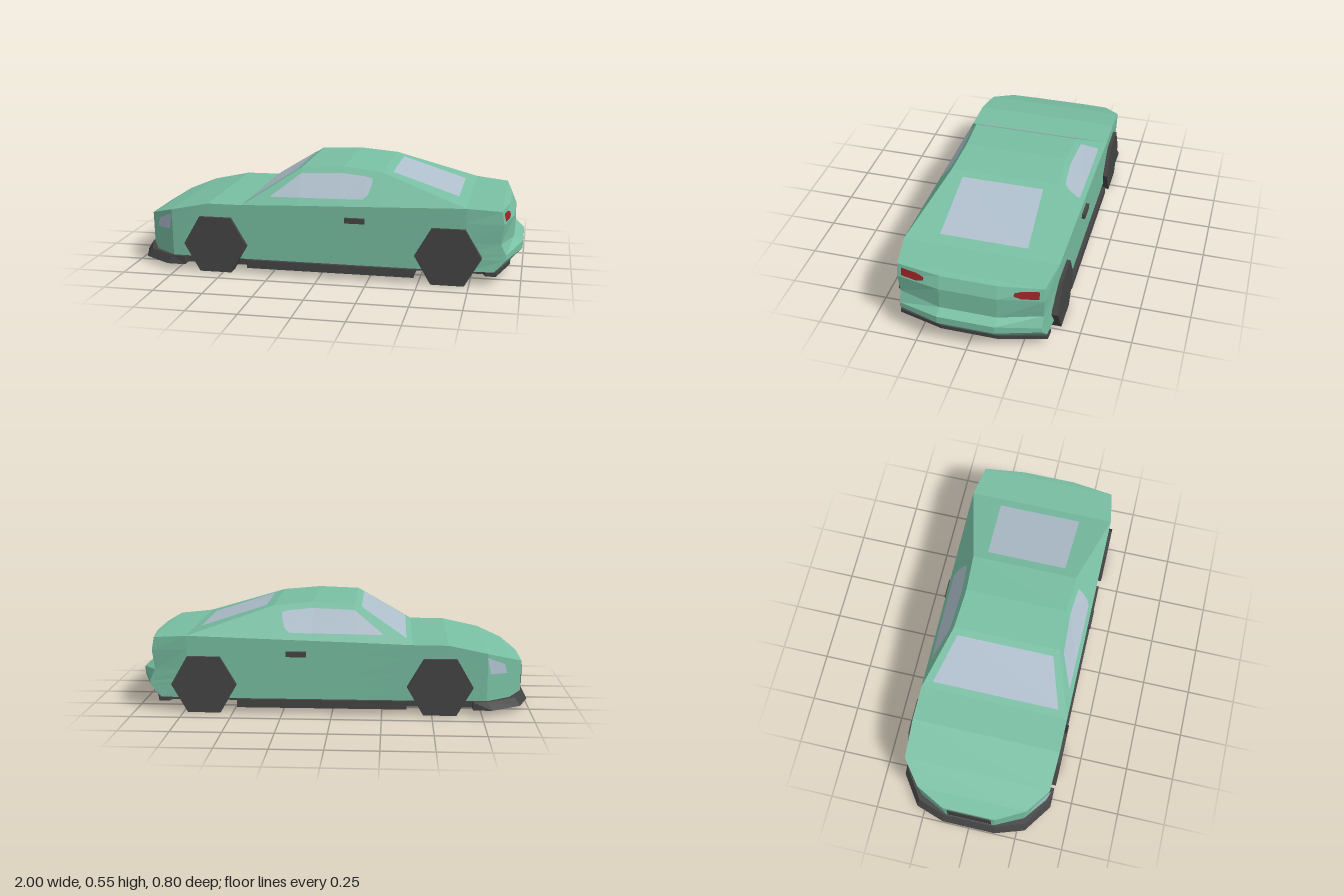
import * as THREE from 'three';

const mat = (name, color) => Object.assign(new THREE.MeshStandardMaterial({ color }), { name });
const lerp = THREE.MathUtils.lerp;

export function createModel() {
  const car = new THREE.Group();
  car.name = 'car';
  const paint = mat('green paint', 0x78bfa3);
  const glass = mat('pale glass', 0xafbfcc);
  const dark = mat('dark grey', 0x454444);
  const red = mat('red lamp', 0x9a2226);

  const add = (name, geo, material) => {
    const flat = geo.index ? geo.toNonIndexed() : geo;
    flat.computeVertexNormals();
    const mesh = new THREE.Mesh(flat, material);
    mesh.name = name;
    car.add(mesh);
    return mesh;
  };

  // Flat faces from a list of quads, skipping collapsed triangles
  const quadGeometry = (quads) => {
    const points = [];
    for (const [a, b, c, d] of quads) {
      for (const t of [[a, b, c], [a, c, d]]) {
        const [p, q, r] = t.map((v) => new THREE.Vector3(...v));
        if (q.clone().sub(p).cross(r.clone().sub(p)).length() > 1e-7) points.push(p, q, r);
      }
    }
    return new THREE.BufferGeometry().setFromPoints(points);
  };
  const flipZ = ([x, y, z]) => [x, y, -z];
  const mirrorQuads = (quads) => quads.map((q) => q.map(flipZ).reverse());
  const addPair = (name, quads, material) => {
    add(name + 'Near', quadGeometry(quads), material);
    add(name + 'Far', quadGeometry(mirrorQuads(quads)), material);
  };

  // Body cross-sections: x, half width, shoulder height, roof height, roof half width
  const stations = [
    [-0.967, 0.138, 0.23], [-0.895, 0.285, 0.272], [-0.775, 0.378, 0.313],
    [-0.58, 0.385, 0.354], [-0.4, 0.385, 0.355],
    [-0.11, 0.385, 0.365, 0.54, 0.275], [0.1, 0.385, 0.371, 0.55, 0.262],
    [0.3, 0.385, 0.377, 0.53, 0.275], [0.73, 0.385, 0.39],
  ];
  const steps = [0, 0.2, 0.3, 0.45, 0.77, 1];
  const sections = stations.map(([x, w, s, roofY = s, roofZ = w]) => [
    ...steps.map((f) => [x, lerp(0.07, s, f), w - 0.01 * (1 - f)]), [x, roofY, roofZ],
  ]);
  // Tail: outer corner, then the centre panel with its bumper ledge
  const corner = [[0.87, 0.07, 0.362], [0.925, 0.13, 0.352], [0.925, 0.155, 0.35],
    [0.9, 0.21, 0.352], [0.912, 0.31, 0.358], [0.9, 0.376, 0.357], [0.9, 0.376, 0.357]];
  const centre = [[0.935, 0.07, 0.14], [1, 0.14, 0.14], [1, 0.178, 0.14],
    [0.955, 0.2, 0.14], [0.955, 0.31, 0.14], [0.93, 0.37, 0.14], [0.93, 0.37, 0.14]];
  sections.push(corner, centre);

  const rings = sections.map((s) => [...s, ...s.map(flipZ).reverse()]);
  const skin = [];
  for (let i = 0; i < rings.length - 1; i++) {
    const n = rings[i].length;
    for (let j = 0; j < n; j++) {
      const k = (j + 1) % n;
      skin.push([rings[i][j], rings[i + 1][j], rings[i + 1][k], rings[i][k]]);
    }
  }
  const cap = (s) => s.slice(1).map((p, j) => [s[j], flipZ(s[j]), flipZ(p), p]);
  skin.push(...cap(centre), ...cap(sections[0]).map((q) => q.reverse()));
  add('body', quadGeometry(skin), paint);

  // Floor pans notched around the wheels, nose lip tapering inward at the top
  const pan = (name, half, y0, y1) => {
    const outline = [...half, ...half.map(([x, z]) => [x, -z]).reverse()];
    const shape = new THREE.Shape(outline.map(([x, z]) => new THREE.Vector2(x, z)));
    const geo = new THREE.ExtrudeGeometry(shape, { depth: y1 - y0, bevelEnabled: false });
    geo.rotateX(Math.PI / 2).translate(0, y1, 0);
    const p = geo.attributes.position;
    for (let i = 0; i < p.count; i++) {
      if (p.getX(i) < -0.75 && p.getY(i) > y1 - 0.001) {
        p.setXYZ(i, p.getX(i) + 0.026, y1, p.getZ(i) * 0.975);
      }
    }
    add(name, geo, dark);
  };
  pan('frontFloorAndSills', [[-1, 0.14], [-0.95, 0.29], [-0.8, 0.395], [-0.705, 0.395],
    [-0.705, 0.335], [-0.375, 0.335], [-0.375, 0.395], [0.478, 0.395]], 0.028, 0.07);
  pan('rearFloor', [[0.478, 0.335], [0.815, 0.335], [0.83, 0.372], [0.88, 0.368],
    [0.94, 0.14]], 0.05, 0.07);

  // Six-sided wheels and door handles
  for (const side of [1, -1]) {
    for (const x of [-0.54, 0.645]) {
      const wheel = new THREE.CylinderGeometry(0.165, 0.165, 0.065, 6);
      wheel.rotateY(Math.PI / 6).rotateX(Math.PI / 2).translate(x, 0.143, side * 0.3675);
      add(x < 0 ? 'frontWheel' : 'rearWheel', wheel, dark);
    }
    const handle = new THREE.BoxGeometry(0.1, 0.026, 0.025);
    add('doorHandle', handle.translate(0.18, 0.303, side * 0.3875), dark);
  }

  // Side windows follow the sloping cabin sides; columns are x, low y, high y
  const cabinZ = (x, y) => {
    const full = stations.map(([sx, w, s, ry = s, rz = w]) => [sx, w, s, ry, rz]);
    const i = full.findIndex((s) => s[0] >= x - 1e-6);
    const [a, b] = [full[i - 1], full[i]];
    const t = (x - a[0]) / (b[0] - a[0]);
    const [, w, s, ry, rz] = a.map((v, k) => lerp(v, b[k], t));
    return lerp(w, rz, (y - s) / (ry - s)) + 0.005;
  };
  const columns = [[-0.255, 0.4, 0.403], [-0.11, 0.403, 0.513], [0.1, 0.405, 0.521],
    [0.215, 0.408, 0.51], [0.24, 0.43, 0.506], [0.255, 0.48, 0.5]];
  const on = (x, y) => [x, y, cabinZ(x, y)];
  addPair('sideWindow', columns.slice(1).map((b, i) => {
    const a = columns[i];
    return [on(a[0], a[1]), on(b[0], b[1]), on(b[0], b[2]), on(a[0], a[2])];
  }), glass);

  // Windscreen and rear window, lifted just above the sloping panels
  const slopeY = (x, a, b) => lerp(a[1], b[1], (x - a[0]) / (b[0] - a[0])) + 0.005;
  const pane = (name, x0, z0, x1, z1, a, b) => {
    const [y0, y1] = [slopeY(x0, a, b), slopeY(x1, a, b)];
    add(name, quadGeometry([[[x0, y0, z0], [x1, y1, z1], [x1, y1, -z1], [x0, y0, -z0]]]), glass);
  };
  pane('windscreen', -0.37, 0.33, -0.143, 0.25, [-0.4, 0.355], [-0.11, 0.54]);
  pane('rearWindow', 0.345, 0.207, 0.68, 0.218, [0.3, 0.53], [0.73, 0.39]);

  // Headlamps on the angled nose corners
  const noseZ = (x, y) => [x - 0.004, y, lerp(0.285, 0.378, (x + 0.895) / 0.12) + 0.003];
  addPair('headlamp', [[noseZ(-0.875, 0.202), noseZ(-0.787, 0.208),
    noseZ(-0.768, 0.295), noseZ(-0.86, 0.25)]], glass);

  // Tail lamps on the upper rear panel
  const tail = (z, y) => {
    const u = (z - 0.14) / 0.217;
    const v = (y - 0.31) / 0.063;
    return [lerp(lerp(0.955, 0.912, u), lerp(0.93, 0.9, u), v) + 0.005, y, z];
  };
  addPair('tailLamp', [
    [tail(0.335, 0.323), tail(0.255, 0.32), tail(0.255, 0.358), tail(0.335, 0.362)],
    [tail(0.255, 0.32), tail(0.218, 0.332), tail(0.218, 0.347), tail(0.255, 0.358)],
  ], red);

  // Grille on the nose
  add('grille', new THREE.BoxGeometry(0.008, 0.1, 0.23).translate(-0.968, 0.155, 0), dark);
  return car;
}
